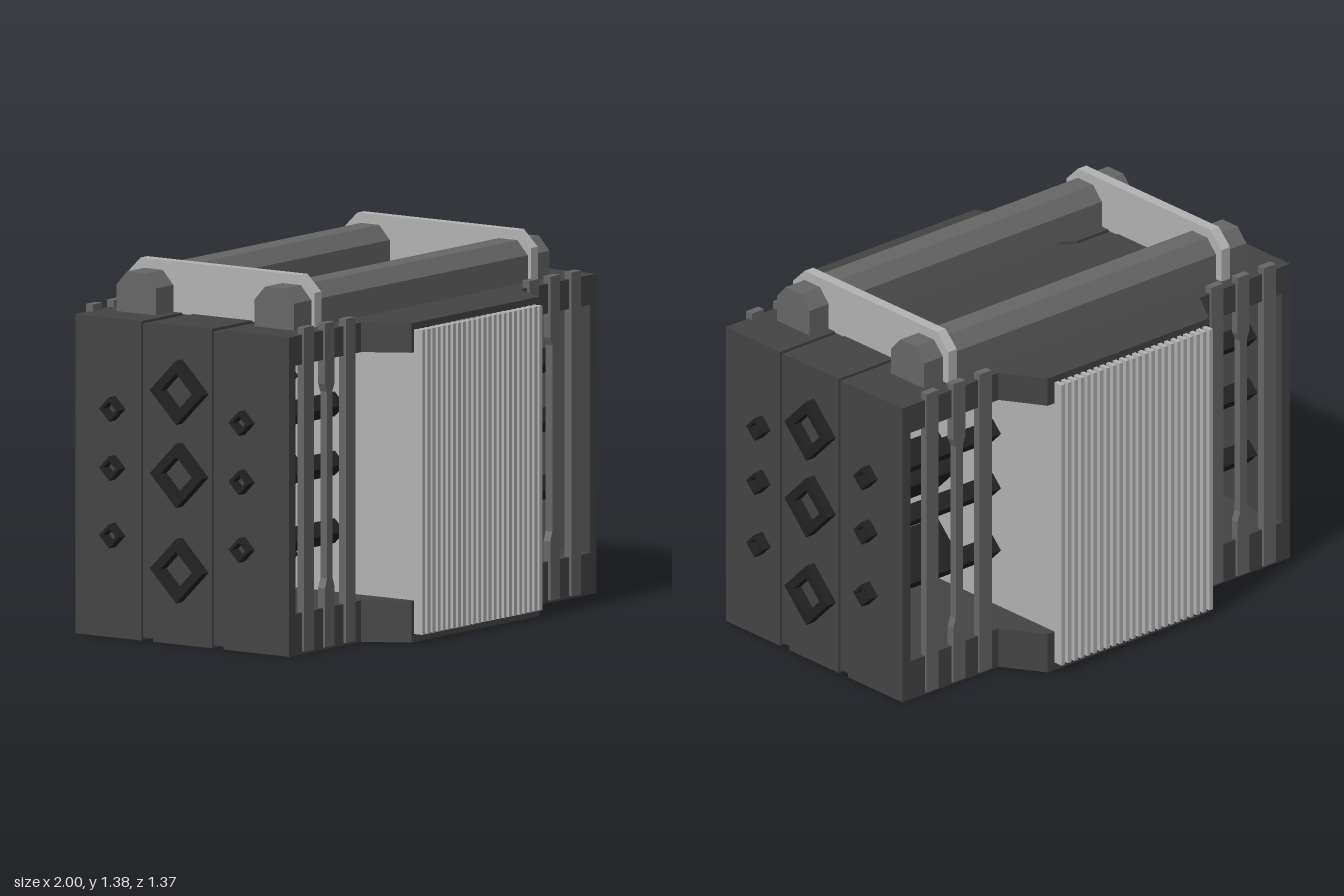
import * as THREE from 'three';

const mat = (name, color) => {
  const m = new THREE.MeshStandardMaterial({ color });
  m.name = name;
  return m;
};

export function createModel() {
  const root = new THREE.Group();
  root.name = 'finnedHousing';
  const casing = mat('dark grey casing', 0x444444);
  const steel = mat('mid grey steel', 0x666666);
  const fin = mat('light grey fins', 0xb2b2b2);
  const black = mat('black rods', 0x222222);

  const add = (name, geometry, material) => {
    const mesh = new THREE.Mesh(geometry, material);
    mesh.name = name;
    root.add(mesh);
    return mesh;
  };
  const box = (name, material, x0, x1, y0, y1, z0, z1) => {
    const g = new THREE.BoxGeometry(x1 - x0, y1 - y0, z1 - z0);
    g.translate((x0 + x1) / 2, (y0 + y1) / 2, (z0 + z1) / 2);
    return add(name, g, material);
  };
  const shapeOf = (pts) => new THREE.Shape(pts.map(([a, b]) => new THREE.Vector2(a, b)));
  const extrude = (shape, depth) => new THREE.ExtrudeGeometry(shape, { depth, bevelEnabled: false });

  // Plan outline in (x, z), raised between two heights
  const plan = (name, pts, y0, y1) => {
    const g = extrude(shapeOf(pts), y1 - y0);
    g.rotateX(Math.PI / 2);
    g.translate(0, y1, 0);
    return add(name, g, casing);
  };
  // Section in (-z, y), drawn along x
  const along = (name, shape, material, x0, x1) => {
    const g = extrude(shape, x1 - x0);
    g.rotateY(Math.PI / 2);
    g.translate(x0, 0, 0);
    return add(name, g, material);
  };

  // Base and top decks: centre strip, two bulged outer strips, sunk seams between
  const E = 0.96;
  const edge = (zEnd, zMid) => [
    [-E, zEnd], [-0.51, zEnd], [-0.415, zMid], [0.385, zMid], [0.485, zEnd], [E, zEnd],
  ];
  const flip = (pts) => pts.map(([x, z]) => [x, -z]);
  const decks = [
    { name: 'base', y0: 0, y1: 0.155, f0: 0.01, f1: 0.155 },
    { name: 'top', y0: 1.08, y1: 1.19, f0: 1.08, f1: 1.18 },
  ];
  for (const d of decks) {
    const inner = edge(0.135, 0.195);
    plan(d.name + 'CentreStrip', [...inner, ...flip(inner).reverse()], d.y0, d.y1);
    const outer = [...edge(0.187, 0.25), ...edge(0.487, 0.647).reverse()];
    const seam = [...edge(0.135, 0.195), ...edge(0.187, 0.25).reverse()]
      .map(([x, z]) => [x * (Math.abs(x) === E ? 0.99 : 1), z]);
    for (const side of [(p) => p, flip]) {
      plan(d.name + 'OuterStrip', side(outer), d.y0, d.y1);
      plan(d.name + 'Seam', side(seam), d.f0, d.f1);
    }
  }

  // End walls with the same sunk seams
  for (const s of [-1, 1]) {
    const wall = (name, a, b, z0, z1) =>
      box(name, casing, Math.min(s * a, s * b), Math.max(s * a, s * b), 0.155, 1.08, z0, z1);
    wall('endWallCentre', 0.92, 0.96, -0.135, 0.135);
    for (const t of [-1, 1]) {
      const span = (a, b) => (t > 0 ? [a, b] : [-b, -a]);
      wall('endWallOuter', 0.92, 0.96, ...span(0.187, 0.487));
      wall('endWallSeam', 0.92, 0.95, ...span(0.135, 0.187));
    }
  }

  // Hollow diamond rods, interrupted by the fin stack
  const diamond = (z, y, r) => [[-z - r, y], [-z, y - r], [-z + r, y], [-z, y + r]];
  const rod = (name, z, y, r, hole) => {
    const shape = shapeOf(diamond(z, y, r));
    shape.holes.push(new THREE.Path(diamond(z, y, hole).reverse().map(([a, b]) => new THREE.Vector2(a, b))));
    along(name, shape, black, -1, -0.33);
    along(name, shape, black, 0.34, 1);
  };
  for (const y of [0.945, 0.635, 0.28]) rod('largeRod', 0, y, 0.12, 0.072);
  for (const y of [0.855, 0.635, 0.383]) {
    for (const z of [0.285, -0.305]) rod('smallRod', z, y, 0.046, 0.029);
  }

  // Stack of cooling fins running from front to back
  const fins = 24;
  for (let i = 0; i < fins; i++) {
    const x = -0.39 + (i * 0.732) / (fins - 1);
    box('coolingFin', fin, x - 0.0085, x + 0.0085, 0.03, 1.165, -0.685, 0.685);
  }

  // Vertical straps on front and back; the middle one of each trio is waisted
  const strap = (x, waist) => {
    const half = [[0.03, 0.01], [0.03, 0.23], [waist, 0.265], [waist, 0.96], [0.03, 0.99], [0.03, 1.217]];
    const shape = shapeOf([
      ...half.map(([w, y]) => [x + w, y]),
      ...half.map(([w, y]) => [x - w, y]).reverse(),
    ]);
    for (const z of [0.466, -0.497]) {
      const g = extrude(shape, 0.031);
      g.translate(0, 0, z);
      add('strap', g, steel);
    }
  };
  for (const x of [-0.85, -0.59, 0.557, 0.82]) strap(x, 0.03);
  for (const x of [-0.72, 0.688]) strap(x, 0.017);

  // Chamfered rails on the top deck
  for (const z of [0.313, -0.316]) {
    along('topRail', shapeOf([
      [-z - 0.09, 1.185], [-z + 0.09, 1.185], [-z + 0.09, 1.29],
      [-z + 0.042, 1.342], [-z - 0.042, 1.342], [-z - 0.09, 1.29],
    ]), steel, -0.815, 0.782);
  }

  // Light cross plates clamping both rails
  const clamp = shapeOf([
    [-0.418, 1.185], [0.437, 1.185], [0.437, 1.318],
    [0.375, 1.379], [-0.355, 1.379], [-0.418, 1.318],
  ]);
  for (const x of [-0.686, 0.667]) along('railClamp', clamp, fin, x - 0.021, x + 0.021);

  return root;
}
